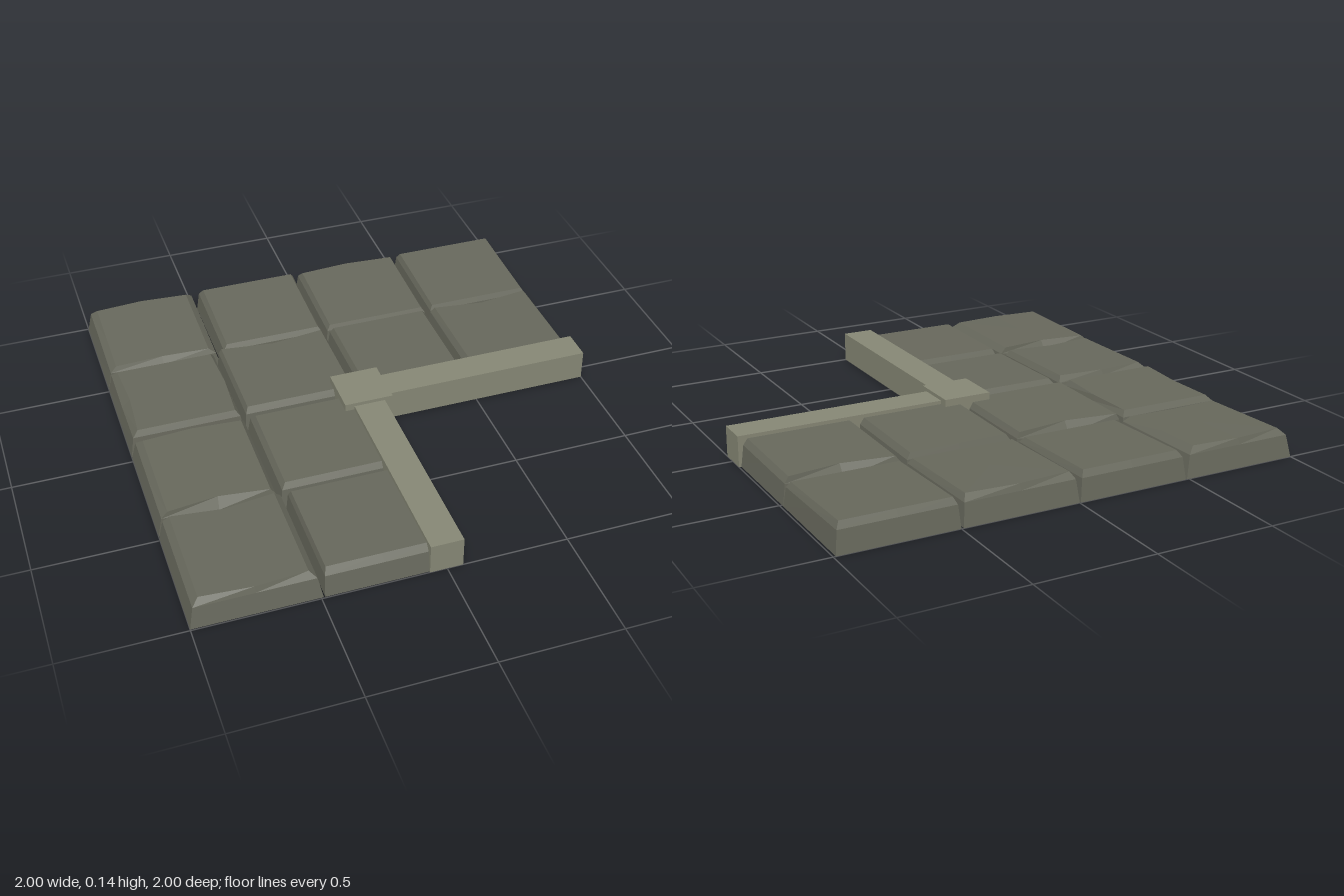
import * as THREE from 'three';

const stone = new THREE.MeshStandardMaterial({ color: 0x66675b, flatShading: true, side: THREE.DoubleSide });
const trim = new THREE.MeshStandardMaterial({ color: 0x858674, flatShading: true, side: THREE.DoubleSide });

// Hollow worn paving slab. base and top are [x0, x1, z0, z1];
// chips give the inward shift of the top edge midpoints: left, front, right, back.
function slab(base, top, chips = {}, yBack = 0.115, yFront = 0.115) {
  const ring = ([x0, x1, z0, z1], y) => {
    const xm = (x0 + x1) / 2, zm = (z0 + z1) / 2;
    return [[x0, z0], [x0, zm], [x0, z1], [xm, z1], [x1, z1], [x1, zm], [x1, z0], [xm, z0]]
      .map(([x, z]) => new THREE.Vector3(x, y, z));
  };
  const low = ring(base, 0);
  const high = ring(top, 0);
  high.forEach((p) => { p.y = THREE.MathUtils.mapLinear(p.z, top[2], top[3], yBack, yFront); });
  // steep wall up to the bevel
  const mid = low.map((p, i) => {
    const m = p.clone().lerp(high[i], 0.4);
    m.y = high[i].y * 0.78;
    return m;
  });
  // chipped edges dip inward and down
  const edges = { left: [1, 'x', 1], front: [3, 'z', -1], right: [5, 'x', -1], back: [7, 'z', 1] };
  for (const [name, amount] of Object.entries(chips)) {
    const [i, axis, sign] = edges[name];
    high[i][axis] += sign * amount;
    if (amount > 0) mid[i].y -= amount * 0.8;
  }
  const centre = new THREE.Vector3((top[0] + top[1]) / 2, (yBack + yFront) / 2, (top[2] + top[3]) / 2);
  const points = [];
  for (let i = 0; i < 8; i++) {
    const j = (i + 1) % 8;
    for (const [a, b] of [[low, mid], [mid, high]]) points.push(a[i], a[j], b[j], a[i], b[j], b[i]);
    points.push(high[i], high[j], centre);
  }
  const geometry = new THREE.BufferGeometry().setFromPoints(points);
  geometry.computeVertexNormals();
  return new THREE.Mesh(geometry, stone);
}

// Box without its underside, given by its limits
function openBox(name, x0, x1, z0, z1, height) {
  const geometry = new THREE.BoxGeometry(x1 - x0, height, z1 - z0);
  const index = Array.from(geometry.index.array);
  index.splice(18, 6);
  geometry.setIndex(index);
  geometry.clearGroups();
  geometry.translate((x0 + x1) / 2, height / 2, (z0 + z1) / 2);
  const mesh = new THREE.Mesh(geometry, trim);
  mesh.name = name;
  return mesh;
}

export function createModel() {
  const model = new THREE.Group();
  model.name = 'pavedCorner';

  // Slabs row by row, from the back to the front
  const rows = [
    { z: [-1, -0.515], yBack: 0.118, yFront: 0.102, slabs: [
      { base: [-1, -0.49], top: [-0.955, -0.54, -0.96, -0.535], chips: { back: -0.015, front: 0.01 } },
      { base: [-0.485, -0.005], top: [-0.455, -0.03, -0.97, -0.54] },
      { base: [0, 0.49], top: [0.025, 0.465, -0.96, -0.535], chips: { back: -0.015 } },
      { base: [0.5, 0.99], top: [0.52, 0.965, -0.97, -0.535] }] },
    { z: [-0.512, -0.03], yBack: 0.11, yFront: 0.115, slabs: [
      { base: [-1, -0.515], top: [-0.96, -0.545, -0.48, -0.055], chips: { left: 0.012, right: -0.01 } },
      { base: [-0.51, -0.005], top: [-0.49, -0.03, -0.5, -0.06], chips: { back: 0.03 } },
      { base: [0.005, 0.485], top: [0.03, 0.455, -0.495, -0.06] },
      { base: [0.49, 0.99], top: [0.52, 0.96, -0.5, -0.06], chips: { back: 0.03 } }] },
    { z: [-0.025, 0.475], yBack: 0.115, yFront: 0.108, slabs: [
      { base: [-1, -0.51], top: [-0.955, -0.54, 0.02, 0.465], chips: { back: -0.015, front: 0.025 } },
      { base: [-0.505, -0.005], top: [-0.475, -0.03, 0.01, 0.445] }] },
    { z: [0.485, 0.995], yBack: 0.112, yFront: 0.115, slabs: [
      { base: [-1, -0.49], top: [-0.955, -0.535, 0.498, 0.955], chips: { back: 0.025, front: -0.015 } },
      { base: [-0.485, -0.005], top: [-0.47, -0.03, 0.51, 0.955] }] },
  ];
  const paving = new THREE.Group();
  paving.name = 'paving';
  rows.forEach((row, r) => row.slabs.forEach((s, c) => {
    const mesh = slab([...s.base, ...row.z], s.top, s.chips, row.yBack, row.yFront);
    mesh.name = `slabRow${r + 1}Column${c + 1}`;
    paving.add(mesh);
  }));
  model.add(paving);

  // Kerbs along the inner edges, joined by a corner post
  model.add(openBox('sideKerb', 0, 1, -0.07, 0.065, 0.13));
  model.add(openBox('frontKerb', -0.07, 0.065, 0, 1, 0.13));
  model.add(openBox('cornerPost', -0.11, 0.1, -0.11, 0.1, 0.145));
  return model;
}
